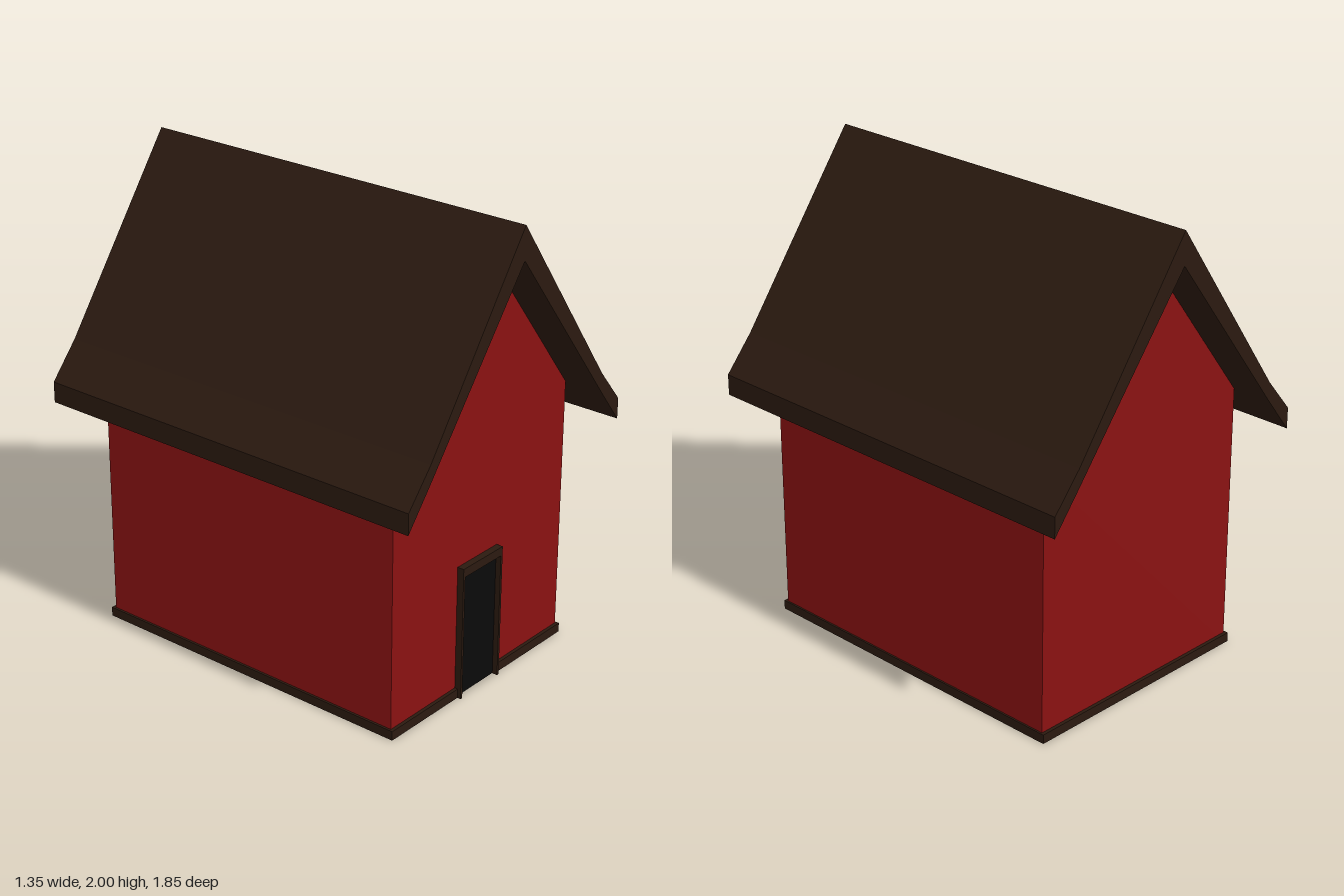
import * as THREE from 'three';

const paint = (color) => new THREE.MeshStandardMaterial({ color, flatShading: true });
const shapeOf = (points) => new THREE.Shape(points.map(([x, y]) => new THREE.Vector2(x, y)));

// Extrude a front outline between two z positions
function prism(points, z0, z1) {
  const g = new THREE.ExtrudeGeometry(shapeOf(points), { depth: z1 - z0, bevelEnabled: false });
  return g.translate(0, 0, z0);
}

export function createModel() {
  const house = new THREE.Group();
  house.name = 'house';
  const red = paint(0x8a1212);
  const brown = paint(0x2b1a10);
  const black = paint(0x0a0a0a);
  const grey = paint(0xcccccc);

  const add = (name, geometry, material) => {
    const mesh = new THREE.Mesh(geometry, material);
    mesh.name = name;
    house.add(mesh);
    return mesh;
  };

  // Walls with both gables
  add('walls', prism([
    [-0.548, 0.002], [0.548, 0.002], [0.548, 1.15], [-0.005, 1.86], [-0.548, 1.15],
  ], -0.75, 0.75), red);

  // Roof: a folded slab that flattens slightly at the eaves
  add('roof', prism([
    [-0.677, 0.99], [-0.55, 1.15], [-0.008, 1.86], [0.545, 1.15], [0.672, 0.99],
    [0.672, 1.08], [0.545, 1.23], [-0.008, 2], [-0.55, 1.23], [-0.677, 1.08],
  ], -0.923, 0.923), brown);

  // Skirting around the walls, open at the doorway
  const doorLeft = 0.113, doorRight = -0.142;
  const skirt = new THREE.ExtrudeGeometry(shapeOf([
    [doorLeft, -0.765], [0.556, -0.765], [0.556, 0.765], [-0.558, 0.765], [-0.558, -0.765],
    [doorRight, -0.765], [doorRight, -0.74], [-0.54, -0.74], [-0.54, 0.74], [0.54, 0.74],
    [0.54, -0.74], [doorLeft, -0.74],
  ]), { depth: 0.04, bevelEnabled: false });
  add('skirting', skirt.rotateX(-Math.PI / 2).translate(0, 0.001, 0), brown);

  // Underside of the house
  const floor = add('floor', new THREE.PlaneGeometry(1.114, 1.53).rotateX(Math.PI / 2), grey);
  floor.position.x = -0.001;

  // Door frame and the dark door set inside it
  add('doorFrame', prism([
    [doorRight, 0], [doorRight + 0.011, 0], [doorRight + 0.011, 0.547], [doorLeft - 0.011, 0.547],
    [doorLeft - 0.011, 0], [doorLeft, 0], [doorLeft, 0.585], [doorRight, 0.585],
  ], 0.745, 0.78), brown);
  const door = add('door', new THREE.BoxGeometry(0.235, 0.55, 0.012), black);
  door.position.set((doorLeft + doorRight) / 2, 0.276, 0.75);

  return house;
}
